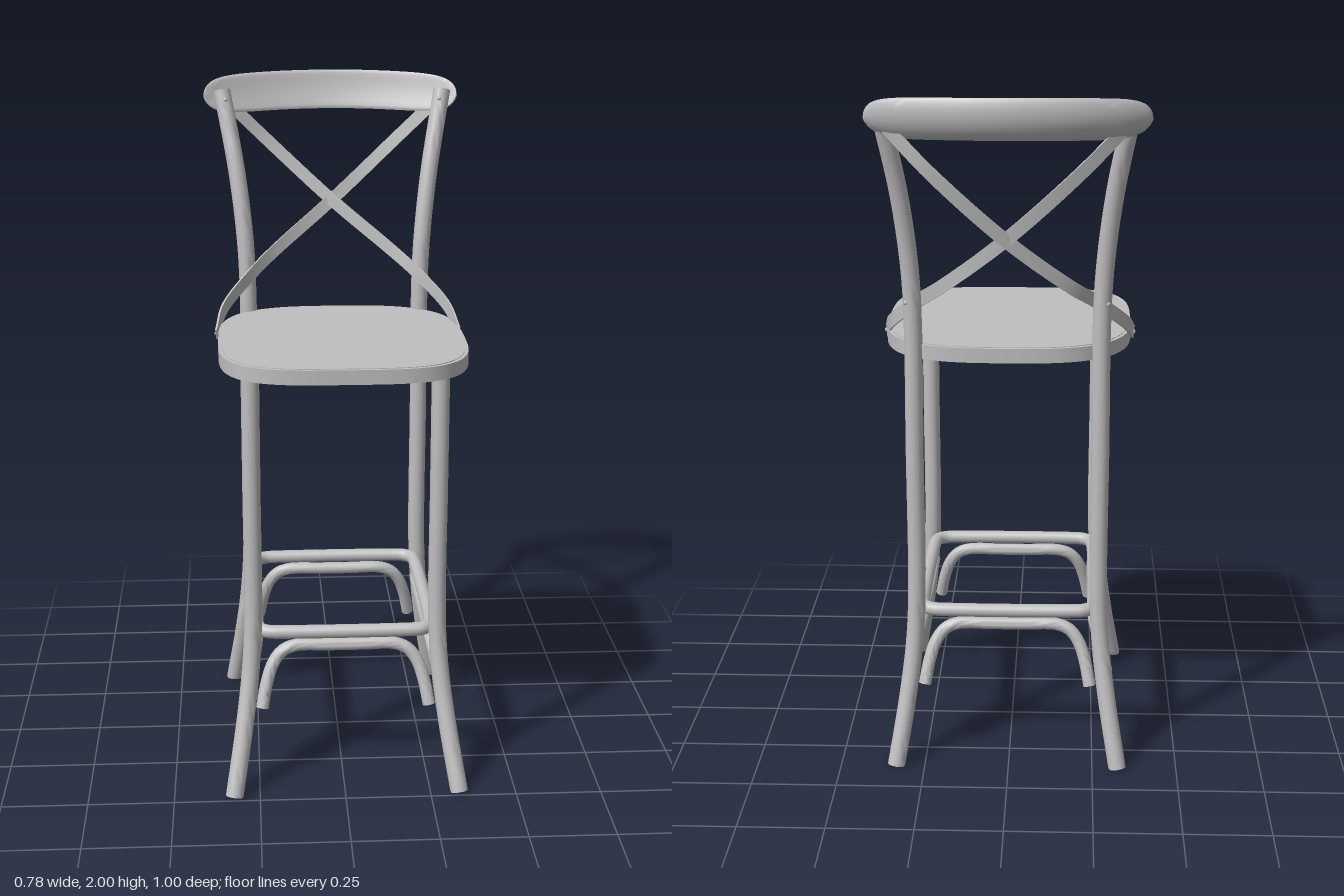
import * as THREE from 'three';
import { toCreasedNormals } from 'three/addons/utils/BufferGeometryUtils.js';

const V = (x, y, z) => new THREE.Vector3(x, y, z);

// Closed loop of [a, b] offsets: a along the facing direction, b across it
function ellipse(ra, rb, n = 16) {
  return Array.from({ length: n }, (_, i) => {
    const t = (i / n) * Math.PI * 2;
    return [Math.cos(t) * ra, Math.sin(t) * rb];
  });
}

// Sweep a cross-section along points; facing(p) steers its orientation
function sweep(points, steps, profile, facing) {
  const curve = new THREE.CatmullRomCurve3(points);
  const pos = [], index = [], centres = [];
  let n = 0;
  for (let i = 0; i <= steps; i++) {
    const s = (1 - Math.cos((Math.PI * i) / steps)) / 2;
    const p = curve.getPoint(s), T = curve.getTangent(s);
    const N = facing(p).clone().addScaledVector(T, -facing(p).dot(T)).normalize();
    const W = T.clone().cross(N);
    const ring = profile(s);
    n = ring.length;
    centres.push(p);
    for (const [a, b] of ring) {
      const q = p.clone().addScaledVector(N, a).addScaledVector(W, b);
      pos.push(q.x, Math.max(0, q.y), q.z);
    }
  }
  for (let i = 0; i < steps; i++) {
    for (let j = 0; j < n; j++) {
      const a = i * n + j, b = i * n + ((j + 1) % n);
      index.push(a, b, a + n, b, b + n, a + n);
    }
  }
  // End caps
  const first = pos.length / 3, last = first + 1, base = steps * n;
  for (const c of [centres[0], centres[steps]]) pos.push(c.x, c.y, c.z);
  for (let j = 0; j < n; j++) {
    const k = (j + 1) % n;
    index.push(first, k, j, last, base + j, base + k);
  }
  const geo = new THREE.BufferGeometry();
  geo.setAttribute('position', new THREE.Float32BufferAttribute(pos, 3));
  geo.setIndex(index);
  return toCreasedNormals(geo, 0.8);
}

const tube = (points, r, steps, dir) => sweep(points, steps, () => ellipse(r, r), () => dir);

// Rounded-square seat outline, a little rounder at the back
function seatOutline(inset) {
  const pts = [], N = 96;
  for (let i = 0; i < N; i++) {
    const t = (i / N) * Math.PI * 2, c = Math.cos(t), s = Math.sin(t);
    const e = 2 / (s < 0 ? 3.6 : 3);
    pts.push(new THREE.Vector2(
      (0.362 - inset) * Math.sign(c) * Math.abs(c) ** e,
      (0.393 - inset) * Math.sign(s) * Math.abs(s) ** e - 0.061));
  }
  return pts;
}

// Flat slab lying between two heights
function slab(shape, y0, y1) {
  const geo = new THREE.ExtrudeGeometry(shape, { depth: y1 - y0, bevelEnabled: false });
  geo.rotateX(-Math.PI / 2).translate(0.004, y0, 0);
  return toCreasedNormals(geo, 0.7);
}

// Rounded rectangle ring of stretchers, set just inside the legs
function stretcherRing(x, zBack, zFront, y, r) {
  const pts = [];
  const corners = [[x - r, zFront - r], [r - x, zFront - r], [r - x, zBack + r], [x - r, zBack + r]];
  corners.forEach(([cx, cz], q) => {
    for (let i = 0; i <= 4; i++) {
      const t = (q + i / 4) * Math.PI / 2;
      pts.push(V(cx + r * Math.cos(t), y, cz + r * Math.sin(t)));
    }
  });
  return new THREE.TubeGeometry(new THREE.CatmullRomCurve3(pts, true), 160, 0.02, 14, true);
}

export function createModel() {
  const model = new THREE.Group();
  model.name = 'barChair';
  const grey = new THREE.MeshStandardMaterial({ color: 0xbfbfbf });
  grey.name = 'grey';

  const frame = new THREE.Group();
  frame.name = 'frame';
  frame.position.x = 0.005;
  model.add(frame);
  const add = (name, geo, parent = frame) => {
    const mesh = new THREE.Mesh(geo, grey);
    mesh.name = name;
    parent.add(mesh);
    return mesh;
  };
  const X = V(1, 0, 0), Z = V(0, 0, 1);

  // Seat: a panel let into a thin rim, hollow underneath
  const rim = new THREE.Shape(seatOutline(0));
  rim.holes.push(new THREE.Path(seatOutline(0.01)));
  add('seatRim', slab(rim, 1.239, 1.281));
  add('seatPanel', slab(new THREE.Shape(seatOutline(0.01)), 1.268, 1.283));

  add('stretcherRing', stretcherRing(0.255, -0.268, 0.345, 0.463, 0.05));

  for (const s of [1, -1]) {
    const side = s > 0 ? 'left' : 'right';
    // Legs
    add(side + 'FrontLeg', tube([
      V(s * 0.33, 0, 0.473), V(s * 0.297, 0.2, 0.41), V(s * 0.277, 0.36, 0.372),
      V(s * 0.268, 0.52, 0.36), V(s * 0.268, 0.9, 0.36), V(s * 0.268, 1.268, 0.36)],
    0.026, 32, X));
    add(side + 'BackLeg', tube([
      V(s * 0.33, 0, -0.366), V(s * 0.297, 0.2, -0.32), V(s * 0.277, 0.36, -0.291),
      V(s * 0.268, 0.52, -0.283), V(s * 0.268, 0.95, -0.283), V(s * 0.268, 1.38, -0.284),
      V(s * 0.276, 1.53, -0.293), V(s * 0.298, 1.72, -0.322), V(s * 0.339, 1.95, -0.381)],
    0.026, 48, X));

    // Bent brace under the ring at the side
    add(side + 'Brace', tube([
      V(s * 0.293, 0.245, 0.347), V(s * 0.279, 0.315, 0.333), V(s * 0.267, 0.37, 0.312),
      V(s * 0.259, 0.405, 0.282), V(s * 0.256, 0.421, 0.235), V(s * 0.255, 0.421, 0.1),
      V(s * 0.255, 0.421, -0.04), V(s * 0.256, 0.421, -0.165), V(s * 0.259, 0.405, -0.205),
      V(s * 0.27, 0.37, -0.228), V(s * 0.281, 0.325, -0.241), V(s * 0.296, 0.265, -0.255)],
    0.0185, 48, X));

    // Bent braces at the front and back
    const z = s > 0 ? 0.345 : -0.268;
    const half = [[0.245, 0.245, 0.05], [0.231, 0.315, 0.03], [0.212, 0.37, 0.015],
      [0.185, 0.405, 0.006], [0.145, 0.421, 0.001], [0.05, 0.421, 0]];
    add(s > 0 ? 'frontBrace' : 'backBrace', tube([
      ...half.map(([x, y, out]) => V(-x, y, z + s * out)),
      ...half.map(([x, y, out]) => V(x, y, z + s * out)).reverse()],
    0.0185, 48, Z));

    // Flat crossing strap, from a back leg top to the opposite seat edge
    const d = s * 0.002, w = 0.019, h = 0.003;
    add(side + 'CrossStrap', sweep([
      V(-s * 0.32, 1.91, -0.405), V(-s * 0.2, 1.79, -0.432 + d), V(0, 1.605, -0.405 + d),
      V(s * 0.18, 1.46, -0.335), V(s * 0.25, 1.405, -0.265), V(s * 0.338, 1.32, -0.16),
      V(s * 0.364, 1.262, -0.045)],
    48, () => [[h, -w], [h, w], [-h, w], [-h, -w]], p => V(p.x, 0, p.z - 0.05)));

    // Screw heads
    for (const [x, y, zz] of [[0.364, 1.265, -0.055], [0.284, 1.405, -0.302], [0.328, 1.925, -0.351]]) {
      add(side + 'Screw', new THREE.SphereGeometry(0.007, 10, 8)).position.set(s * x, y, zz);
    }
  }

  // Curved top rail, bulging back with a hollow front and rounded ends
  const railPoints = Array.from({ length: 9 }, (_, i) => {
    const t = i / 4 - 1;
    return V(0.388 * t, 1.942 - 0.01 * t * t, -0.477 + 0.107 * t * t);
  });
  const lean = V(0, -0.25, -1);
  add('topRail', sweep(railPoints, 48, s => {
    const k = Math.sqrt(Math.max(0.002, 1 - Math.abs(2 * s - 1) ** 10));
    return ellipse(0.011 * (0.4 + 0.6 * k), 0.06 * k, 20).map(([a, b]) => [
      a + 0.012 * k * (1 - (b / (0.06 * k)) ** 2), b]);
  }, () => lean), model);

  return model;
}
